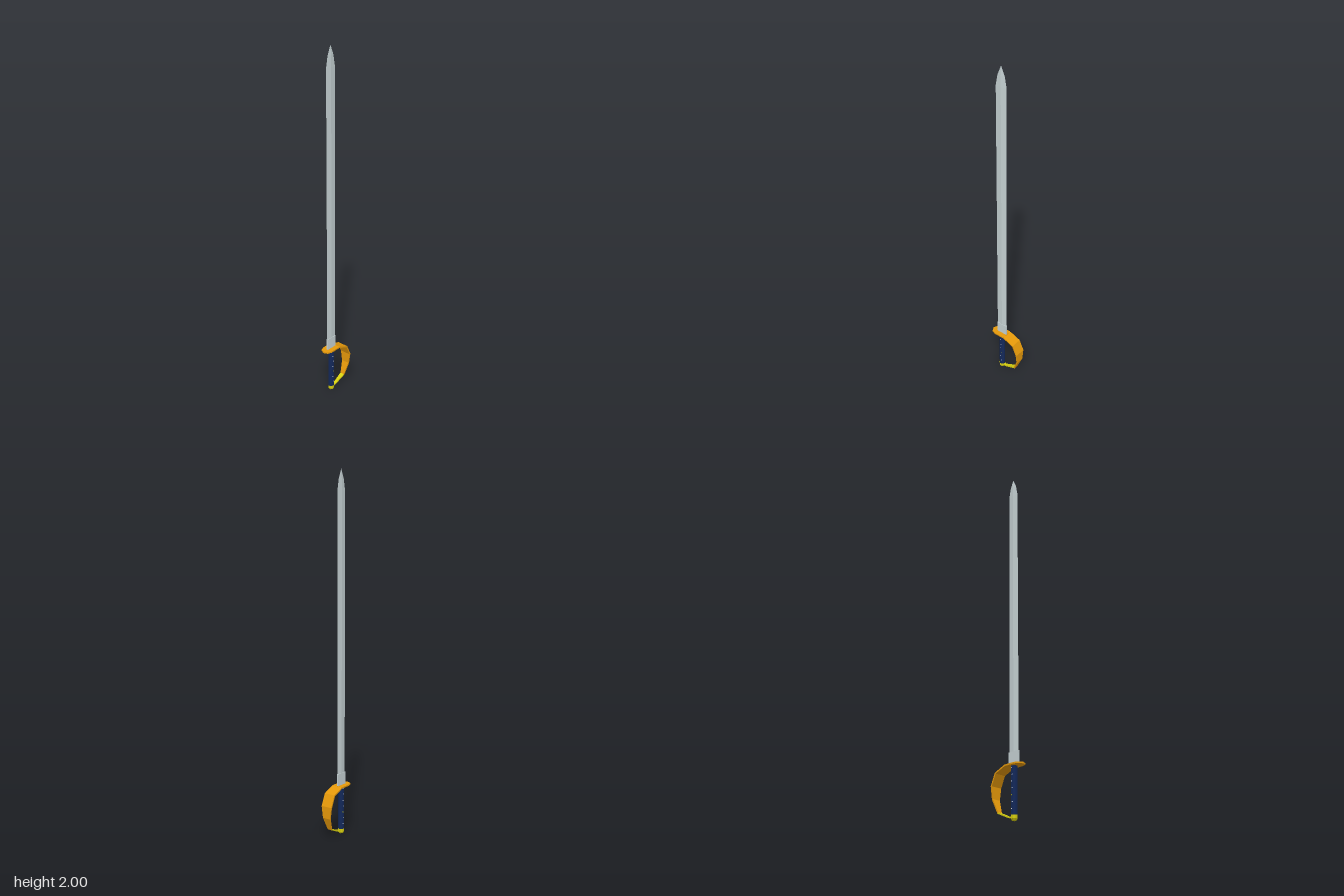
import * as THREE from 'three';

const material = (name, color) => {
  const m = new THREE.MeshStandardMaterial({ color, flatShading: true });
  m.name = name;
  return m;
};

// Joins rings of [x, y, z] points, counterclockwise about the path, into a capped solid
function loft(rings) {
  const n = rings[0].length, pos = [];
  const tri = (a, b, c) => pos.push(...a, ...b, ...c);
  for (let i = 0; i < rings.length - 1; i++) {
    for (let j = 0; j < n; j++) {
      const k = (j + 1) % n, a = rings[i], b = rings[i + 1];
      tri(a[j], b[k], b[j]);
      tri(a[j], a[k], b[k]);
    }
  }
  const first = rings[0], last = rings[rings.length - 1];
  for (let j = 1; j < n - 1; j++) {
    tri(first[0], first[j + 1], first[j]);
    tri(last[0], last[j], last[j + 1]);
  }
  const g = new THREE.BufferGeometry();
  g.setAttribute('position', new THREE.Float32BufferAttribute(pos, 3));
  g.computeVertexNormals();
  return g;
}

export function createModel() {
  const sword = new THREE.Group();
  sword.name = 'sword';
  const steel = material('steel', 0xc6d2d4);
  const brass = material('orange brass', 0xe6990a);
  const yellow = material('yellow brass', 0xd8d010);
  const navy = material('navy grip', 0x132859);
  const pale = material('pale studs', 0xdde3ea);
  const axisZ = 0.034;

  const add = (name, geometry, mat, x = 0, y = 0, z = 0) => {
    const mesh = new THREE.Mesh(geometry, mat);
    mesh.name = name;
    mesh.position.set(x, y, z);
    sword.add(mesh);
  };

  // Blade: diamond section narrowing to a point; [height, half width, half thickness]
  const blade = [[0.282, 0.0335, 0.004], [1.89, 0.0335, 0.004], [1.95, 0.022, 0.003], [2, 0.0005, 0.0003]];
  add('blade', loft(blade.map(([y, w, t]) =>
    [[0, y, axisZ - w], [-t, y, axisZ], [0, y, axisZ + w], [t, y, axisZ]])), steel);
  add('bladeCollar', new THREE.BoxGeometry(0.01, 0.068, 0.066), steel, 0, 0.316, axisZ);

  // Flat guard plate with a faceted front end
  const plate = new THREE.Shape([
    [-0.033, 0], [0.033, 0], [0.033, -0.066], [0.024, -0.089], [0, -0.1], [-0.024, -0.089], [-0.033, -0.066],
  ].map(([x, y]) => new THREE.Vector2(x, y)));
  const plateGeometry = new THREE.ExtrudeGeometry(plate, { depth: 0.008, bevelEnabled: false });
  plateGeometry.rotateX(-Math.PI / 2);
  add('guardPlate', plateGeometry, brass, 0, 0.275, 0);

  // Knuckle bow: a strap narrowing towards the pommel; [z, y, half width]
  const bow = [
    [0, 0.279, 0.033], [-0.068, 0.252, 0.033], [-0.096, 0.19, 0.033],
    [-0.096, 0.125, 0.024], [-0.068, 0.054, 0.013], [0, 0.024, 0.008], [0.022, 0.02, 0.007],
  ];
  const rings = bow.map(([z, y, w], i) => {
    const [z0, y0] = bow[Math.max(i - 1, 0)], [z1, y1] = bow[Math.min(i + 1, bow.length - 1)];
    const len = Math.hypot(z1 - z0, y1 - y0);
    const nz = (y1 - y0) / len * 0.004, ny = -(z1 - z0) / len * 0.004;
    return [[-w, y + ny, z + nz], [w, y + ny, z + nz], [w, y - ny, z - nz], [-w, y - ny, z - nz]];
  });
  add('knuckleBow', loft(rings.slice(0, 5)), brass);
  add('knuckleBowEnd', loft(rings.slice(4)), yellow);

  // Eight-sided grip
  const grip = new THREE.CylinderGeometry(0.0175, 0.0175, 0.25, 8);
  grip.rotateY(Math.PI / 8);
  grip.scale(0.95, 1, 1);
  add('grip', grip, navy, 0, 0.153, axisZ);

  // Studs in a row on both cheeks of the grip
  for (const side of [-1, 1]) {
    for (let i = 0; i < 7; i++) {
      const stud = new THREE.CylinderGeometry(0.003, 0.003, 0.003, 6);
      stud.rotateZ(Math.PI / 2);
      add('gripStud', stud, i === 2 ? yellow : pale, side * 0.0155, 0.06 + i * 0.034, axisZ + (i % 2 ? 0.003 : -0.003));
    }
  }

  // Rounded pommel
  const pommel = new THREE.LatheGeometry([
    [0, 0], [0.011, 0.003], [0.017, 0.012], [0.018, 0.03], [0, 0.03],
  ].map(([r, y]) => new THREE.Vector2(r, y)), 8, Math.PI / 8);
  add('pommel', pommel, yellow, 0, 0, axisZ);

  return sword;
}
